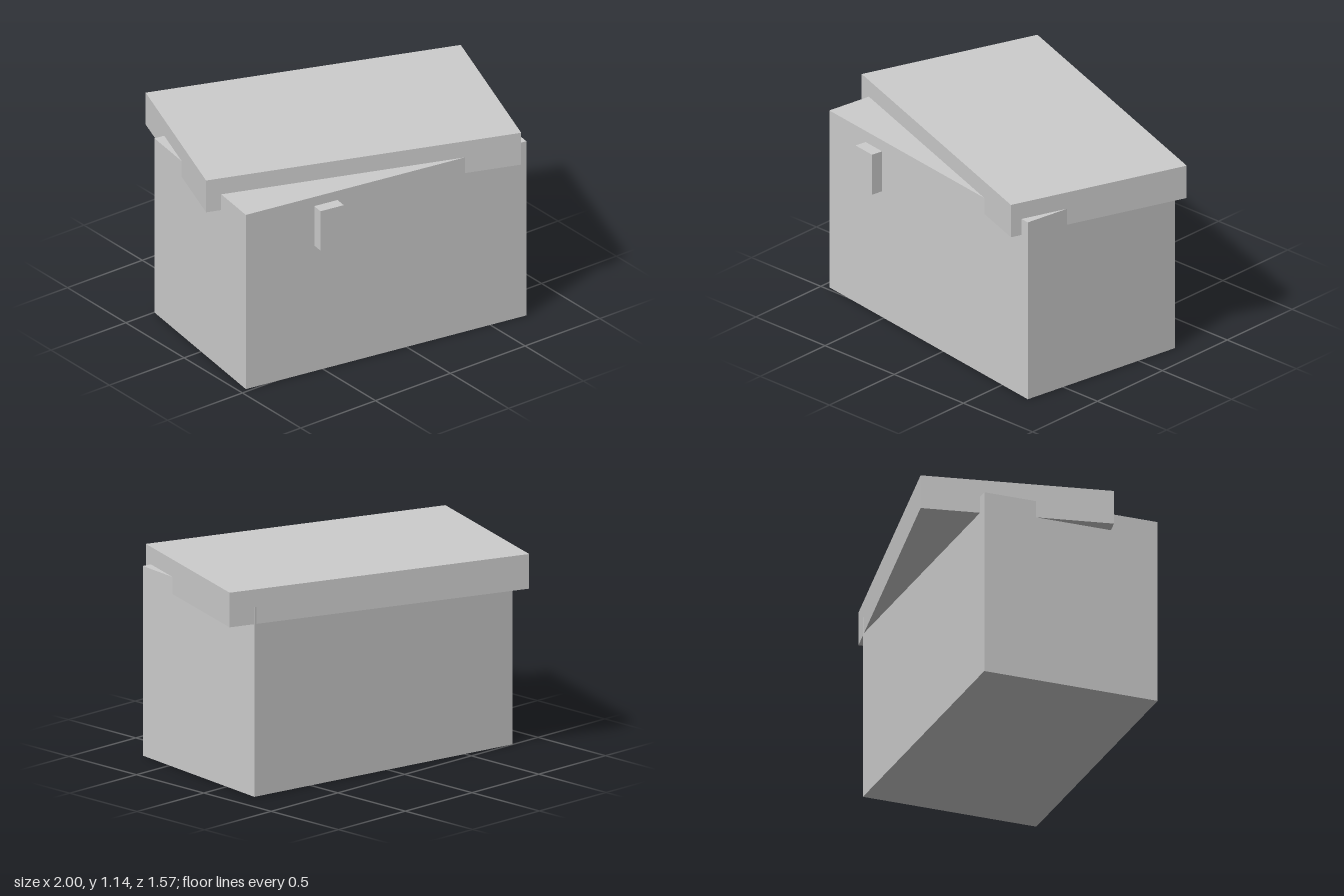
import * as THREE from 'three';

export function createModel() {
  const model = new THREE.Group();
  model.name = 'chest';

  const grey = new THREE.MeshStandardMaterial({ color: 0xcccccc });
  grey.name = 'plain grey';

  // Box with its base at height y, turned about the vertical axis
  const addBox = (name, [w, h, d], [x, y, z], turn) => {
    const mesh = new THREE.Mesh(new THREE.BoxGeometry(w, h, d), grey);
    mesh.name = name;
    mesh.position.set(x, y + h / 2, z);
    mesh.rotation.y = turn;
    model.add(mesh);
  };

  const bodyTurn = -0.152;
  const lidTurn = -0.35;

  // Main box
  addBox('body', [1.695, 1.04, 0.987], [-0.047, 0, 0.118], bodyTurn);
  // Lid, knocked askew and sunk slightly over the rim
  addBox('lid', [1.746, 0.19, 1.038], [0, 0.946, -0.002], lidTurn);
  // Latch standing just off the front
  addBox('latch', [0.141, 0.235, 0.067], [-0.526, 0.785, 0.635], bodyTurn);

  return model;
}
